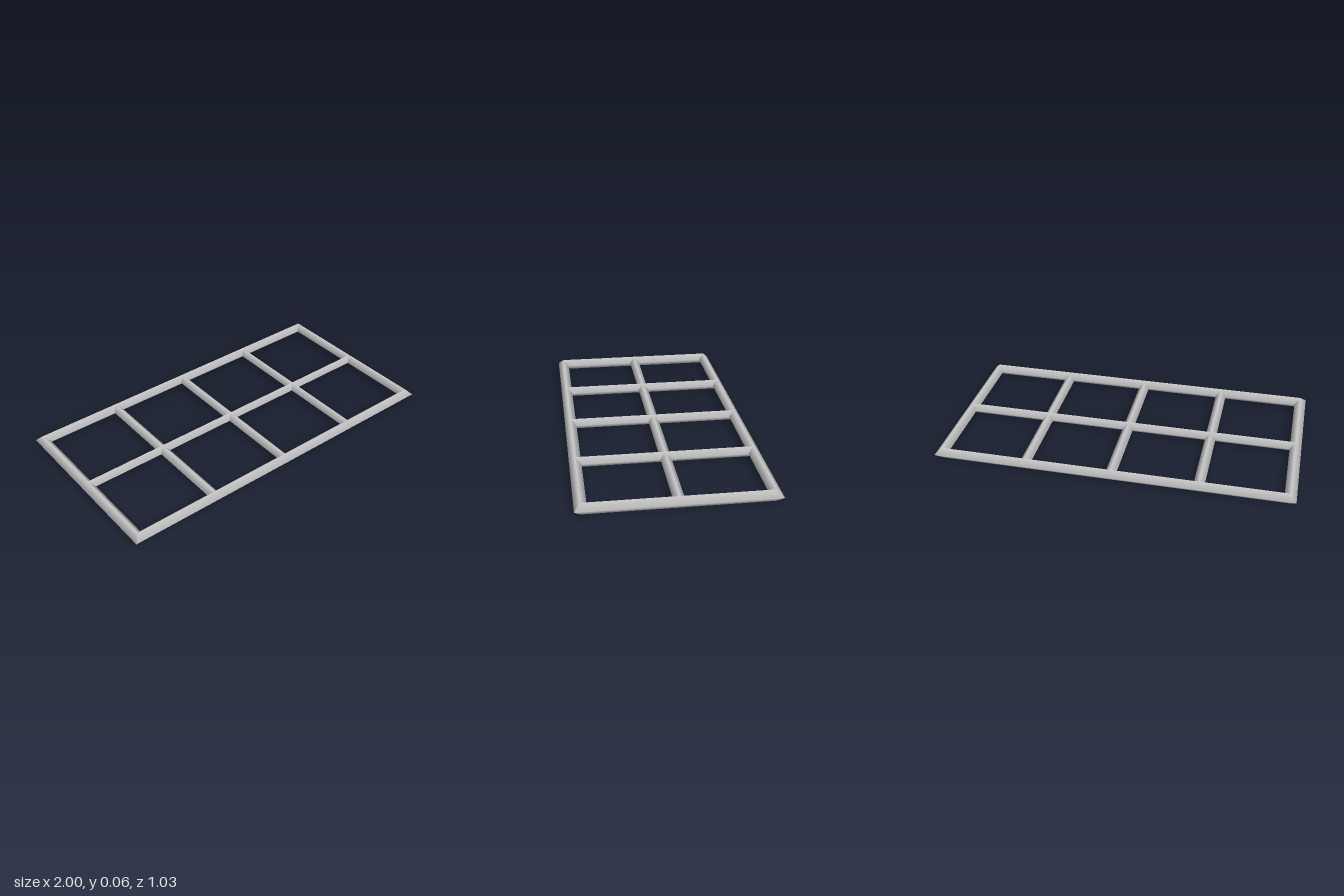
import * as THREE from 'three';

const R = 0.0325;          // frame bar radius (diamond section)
const r = 0.03;            // inner bar radius
const HX = 1 - R;          // frame centre lines
const HZ = 0.515 - R;

export function createModel() {
  const group = new THREE.Group();
  const material = new THREE.MeshStandardMaterial({ color: 0xcccccc });

  // Four-sided bar along x with smooth normals; mitred ends grow towards +z
  function addBar(name, length, radius, mitred, angle, x, z) {
    const geometry = new THREE.CylinderGeometry(radius, radius, length, 4, 1, true);
    geometry.rotateZ(Math.PI / 2);
    if (mitred) {
      const p = geometry.attributes.position;
      for (let i = 0; i < p.count; i++) p.setX(i, p.getX(i) + Math.sign(p.getX(i)) * p.getZ(i));
    }
    const bar = new THREE.Mesh(geometry, material);
    bar.name = name;
    bar.rotation.y = angle;
    bar.position.set(x, R, z);
    group.add(bar);
  }

  // Outer frame
  addBar('frontRail', 2 * HX, R, true, 0, 0, HZ);
  addBar('backRail', 2 * HX, R, true, Math.PI, 0, -HZ);
  addBar('leftRail', 2 * HZ, R, true, Math.PI / 2, HX, 0);
  addBar('rightRail', 2 * HZ, R, true, -Math.PI / 2, -HX, 0);

  // Inner grid
  addBar('centreBar', 2 * HX, r, false, 0, 0, 0);
  for (const x of [-HX / 2, 0, HX / 2]) addBar('crossBar', 2 * HZ, r, false, Math.PI / 2, x, 0);

  return group;
}
